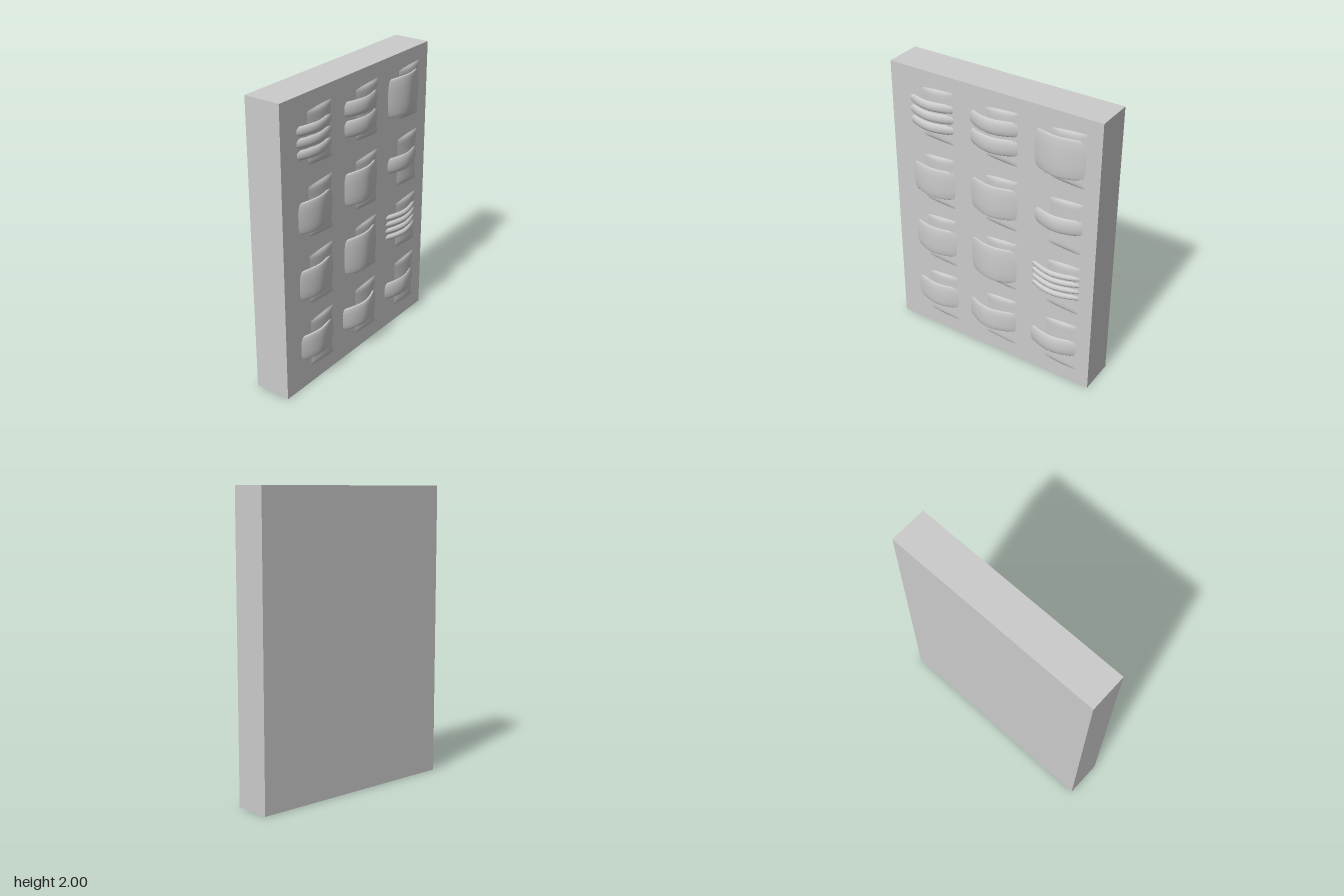
import * as THREE from 'three';

const FACE = 0.095; // front plane of the board
const material = new THREE.MeshStandardMaterial({ color: 0xcccccc, side: THREE.DoubleSide });

function addMesh(parent, geometry, name) {
  const mesh = new THREE.Mesh(geometry, material);
  mesh.name = name;
  parent.add(mesh);
}

// Arched bangle: a rounded oblong section lofted from left to right
function bandGeometry(x0, x1, y0, y1, peak) {
  const steps = 32, ring = 40, pos = [], idx = [];
  const h = (y1 - y0) / 2, cy = (y0 + y1) / 2, mid = x0 + (x1 - x0) * 0.49;
  const thick = 0.01;
  const power = h > 0.07 ? 0.45 : 0.8; // wide bands are flatter than thin strands
  const round = (c) => Math.sign(c) * Math.pow(Math.abs(c), power);
  for (let i = 0; i <= steps; i++) {
    const x = x0 + ((x1 - x0) * i) / steps;
    const t = x < mid ? (x - mid) / (mid - x0) : (x - mid) / (x1 - mid);
    const outer = FACE + 0.001 + (peak - FACE) * (1 - Math.pow(Math.abs(t), 1.8));
    const height = h * (1 - (t < 0 ? 0.1 : 0.06) * Math.pow(Math.abs(t), 2.5));
    for (let j = 0; j < ring; j++) {
      const a = (j / ring) * Math.PI * 2;
      const s = round(Math.cos(a));
      pos.push(x, cy + height * s, outer - thick + thick * round(Math.sin(a)) - 0.006 * s * s);
      if (i < steps) {
        const p = i * ring + j, q = i * ring + ((j + 1) % ring);
        idx.push(p, q, p + ring, q, q + ring, p + ring);
      }
    }
  }
  const g = new THREE.BufferGeometry();
  g.setAttribute('position', new THREE.Float32BufferAttribute(pos, 3));
  g.setIndex(idx);
  g.computeVertexNormals();
  return g;
}

// Saddle-shaped cushion with flared ends, half sunk in the board
function cushionGeometry(x1, cy) {
  const g = new THREE.PlaneGeometry(2, 2, 20, 32);
  const p = g.attributes.position;
  for (let i = 0; i < p.count; i++) {
    const u = (p.getX(i) + 1) / 2, v = p.getY(i);
    const right = x1 - 0.022 * (1 - Math.pow(Math.abs(v), 3));
    const left = x1 - 0.235;
    const end = 0.173 + 0.017 * u;
    const dome = Math.pow(Math.sin(Math.PI * (0.08 + 0.84 * u)), 0.7);
    const lip = 1 - Math.pow(Math.abs(v), 14);
    const saddle = 0.006 * (1 - v * v) * (1 - u);
    p.setXYZ(i, left + (right - left) * u, cy + v * end,
      FACE - 0.002 + 0.016 * dome * lip - saddle);
  }
  g.computeVertexNormals();
  return g;
}

export function createModel() {
  const group = new THREE.Group();
  group.name = 'bangleDisplay';

  // Board
  const board = new THREE.BoxGeometry(1.53, 2, 0.255);
  board.translate(0, 1, FACE - 0.1275);
  addMesh(group, board, 'board');

  // Columns: band ends, cushion edge, peak; bands from top row to bottom as [low, high]
  const rowY = [1.715, 1.235, 0.765, 0.295];
  const columns = [
    { x0: -0.62, x1: -0.285, peak: 0.14, rows: [
      [[1.6, 1.665], [1.675, 1.74], [1.75, 1.815]], [[1.11, 1.33]], [[0.65, 0.865]], [[0.205, 0.39]]] },
    { x0: -0.16, x1: 0.195, peak: 0.149, rows: [
      [[1.595, 1.71], [1.73, 1.835]], [[1.125, 1.36]], [[0.625, 0.895]], [[0.21, 0.38, -0.18, 0.158]]] },
    { x0: 0.31, x1: 0.665, peak: 0.145, rows: [
      [[1.58, 1.855]], [[1.185, 1.3, 0.32]],
      [[0.69, 0.73], [0.74, 0.78], [0.79, 0.83], [0.84, 0.88]], [[0.215, 0.35]]] },
  ];
  for (const { x0, x1, peak, rows } of columns) {
    rows.forEach((bands, r) => {
      const cell = new THREE.Group();
      cell.name = 'bangleOnCushion';
      addMesh(cell, cushionGeometry(x1, rowY[r]), 'cushion');
      for (const [low, high, start = x0, top = peak] of bands) {
        addMesh(cell, bandGeometry(start, x1, low, high, top), 'bangle');
      }
      group.add(cell);
    });
  }
  return group;
}
